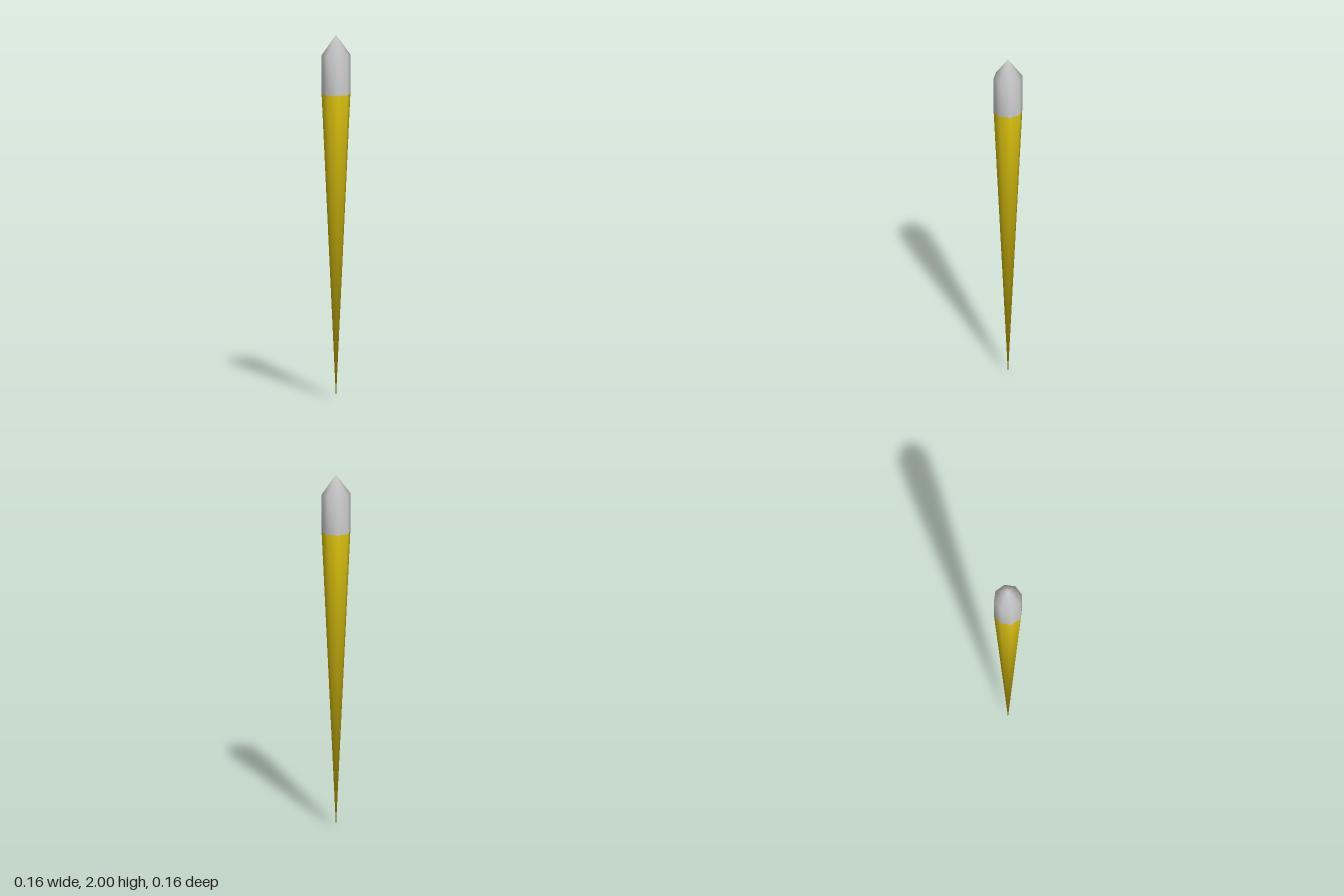
import * as THREE from 'three';
import { mergeVertices } from 'three/addons/utils/BufferGeometryUtils.js';

const SIDES = 8;
const RADIUS = 0.079;

// Eight-sided turned part whose normals are averaged across shared corners
function turned(name, profile, color) {
  let geometry = new THREE.LatheGeometry(profile.map(([r, y]) => new THREE.Vector2(r, y)), SIDES);
  geometry.deleteAttribute('uv');
  geometry.deleteAttribute('normal');
  geometry = mergeVertices(geometry, 1e-5);

  // Drop the collapsed triangles at the points
  const index = geometry.index.array;
  const kept = [];
  for (let i = 0; i < index.length; i += 3) {
    const [a, b, c] = [index[i], index[i + 1], index[i + 2]];
    if (a !== b && b !== c && c !== a) kept.push(a, b, c);
  }
  geometry.setIndex(kept);
  geometry.computeVertexNormals();

  const mesh = new THREE.Mesh(geometry, new THREE.MeshStandardMaterial({ color }));
  mesh.name = name;
  return mesh;
}

export function createModel() {
  const model = new THREE.Group();
  model.name = 'spike';

  // Long yellow shaft tapering down to a point
  model.add(turned('taperedShaft', [[0, 0], [RADIUS, 1.675]], 0xe6cb10));

  // Grey head: straight collar closed by a short point
  model.add(turned('pointedHead', [[RADIUS, 1.675], [RADIUS, 1.89], [0, 2]], 0xcccccc));

  return model;
}
